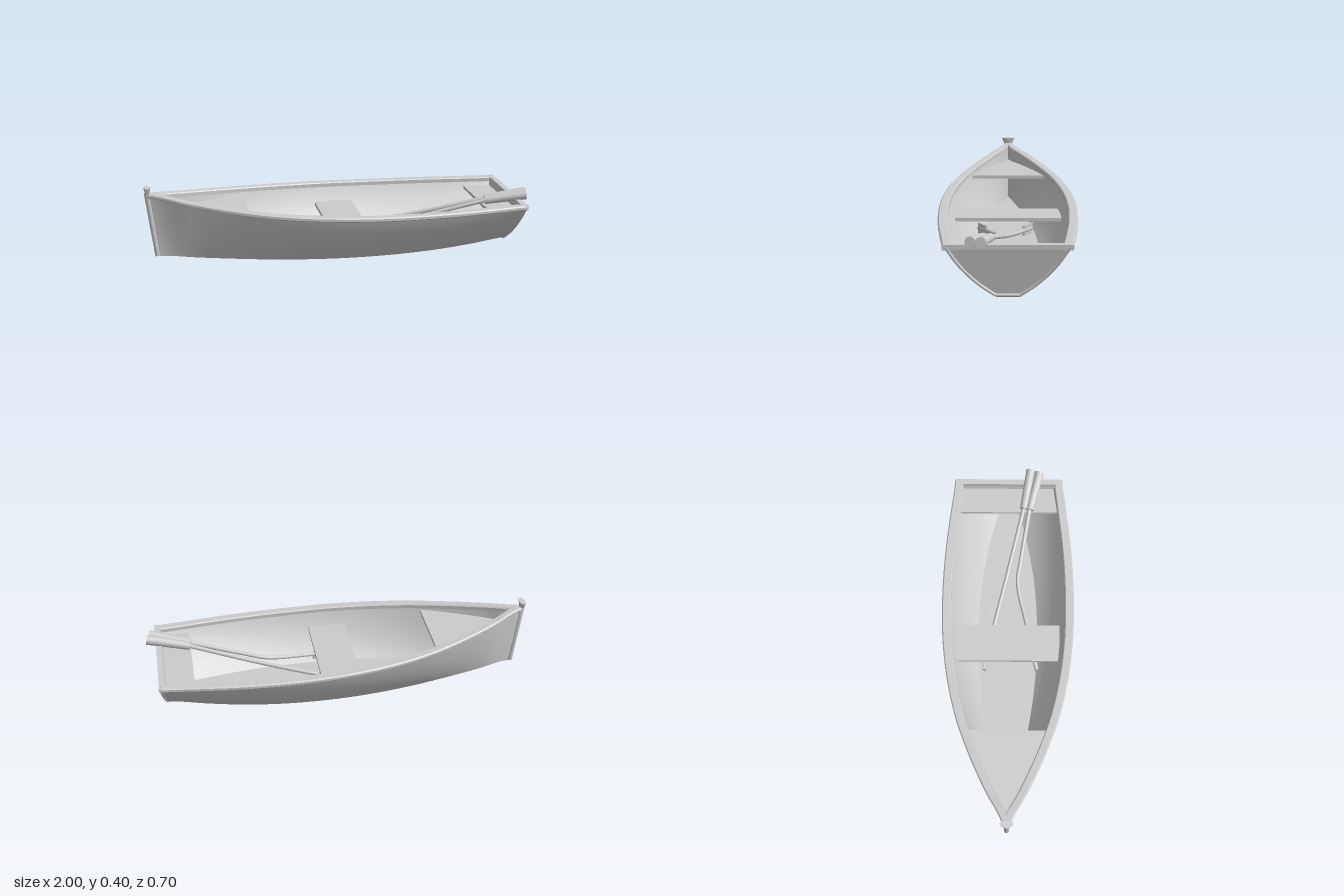
import * as THREE from 'three';
import { toCreasedNormals } from 'three/addons/utils/BufferGeometryUtils.js';

const mat = new THREE.MeshStandardMaterial({ color: 0xcccccc, side: THREE.DoubleSide });
const lerp = THREE.MathUtils.lerp;
const V = (x, y, z) => new THREE.Vector3(x, y, z);

// Smooth function of u (0 bow .. 1 stern) through evenly spaced values
function along(values) {
  const curve = new THREE.SplineCurve(values.map((v, i) => new THREE.Vector2(i, v)));
  return (u) => curve.getPoint(Math.min(1, Math.max(0, u))).y;
}
const railWidth = along([0.018, 0.115, 0.2, 0.268, 0.312, 0.338, 0.348, 0.346, 0.335, 0.315, 0.295]);
const sheerY = along([0.365, 0.338, 0.316, 0.299, 0.287, 0.279, 0.273, 0.27, 0.269, 0.269, 0.27]);
const chineWidth = along([0.004, 0.05, 0.09, 0.125, 0.152, 0.167, 0.171, 0.164, 0.142, 0.106, 0.06]);
const floorY = along([0.03, 0.022, 0.016, 0.011, 0.008, 0.006, 0.006, 0.008, 0.011, 0.016, 0.022]);
const sheerX = (u) => -0.985 + 1.93 * u;
const floorX = (u) => -0.95 + 1.855 * u;
const uAt = (x) => (x + 0.985) / 1.93;

// Point on the hull side: v 0 at the chine, 1 at the sheer
function sidePoint(u, v, inset = 0) {
  const top = sheerY(u) - 0.012;
  const low = floorY(u) + inset;
  const w = Math.max(0, railWidth(u) - 0.012 - inset);
  const c = Math.max(0, chineWidth(u) - inset * 0.7);
  const a = (1 - v) ** 2, b = 2 * v * (1 - v), d = v * v;
  const y = a * low + b * lerp(low, top, 0.39) + d * top;
  const z = a * c + b * lerp(c, w, 0.65) + d * w;
  return V(lerp(floorX(u), sheerX(u), (y - floorY(u)) / (sheerY(u) - floorY(u))), y, z);
}

// Surface from a rule over a grid of (u, v)
function grid(fn, nu, nv) {
  const pos = [], index = [];
  for (let i = 0; i <= nu; i++) {
    for (let j = 0; j <= nv; j++) {
      pos.push(...fn(i / nu, j / nv).toArray());
      if (i < nu && j < nv) {
        const a = i * (nv + 1) + j, b = a + nv + 1;
        index.push(a, b, a + 1, b, b + 1, a + 1);
      }
    }
  }
  const g = new THREE.BufferGeometry();
  g.setAttribute('position', new THREE.Float32BufferAttribute(pos, 3));
  g.setIndex(index);
  g.computeVertexNormals();
  return g;
}

export function createModel() {
  const boat = new THREE.Group();
  boat.name = 'rowingBoat';
  const add = (name, geometry, parent = boat) => {
    const m = new THREE.Mesh(geometry, mat);
    m.name = name;
    parent.add(m);
    return m;
  };
  const rod = (name, a, b, r1, r2, parent, sides = 16) => {
    const m = add(name, new THREE.CylinderGeometry(r2, r1, a.distanceTo(b), sides), parent);
    m.position.copy(a).lerp(b, 0.5);
    m.quaternion.setFromUnitVectors(V(0, 1, 0), b.clone().sub(a).normalize());
    return m;
  };

  // Hull sides and gunwales, mirrored
  for (const s of [1, -1]) {
    const flip = (p) => p.setZ(p.z * s);
    const tag = s > 0 ? 'Front' : 'Back';
    add('hullSide' + tag, grid((u, v) => flip(sidePoint(u, v)), 60, 14));
    add('innerSide' + tag, grid((u, v) => flip(sidePoint(u, v, 0.018)), 60, 14));

    // Rail profile: [distance in from the outer edge, distance below the sheer]
    const profile = [[0.006, 0.024], [0, 0.018], [0, 0.006], [0.006, 0], [0.042, 0], [0.047, 0.005], [0.047, 0.024], [0.006, 0.024]];
    const rail = grid((u, v) => {
      const [inn, down] = profile[Math.round(v * (profile.length - 1))];
      return flip(V(sheerX(u), sheerY(u) - down, Math.max(0, railWidth(u) - inn)));
    }, 60, profile.length - 1);
    add('gunwale' + tag, toCreasedNormals(rail, 0.6));
    const end = add('gunwaleEnd' + tag, new THREE.BoxGeometry(0.012, 0.024, 0.047));
    end.position.set(0.942, 0.258, s * 0.271);

    // Rounded trim down the edge of the transom
    const edge = [0, 0.25, 0.5, 0.75, 1].map((v) => flip(sidePoint(1, v)).add(V(0, 0, -0.006 * s)));
    add('transomTrim' + tag, new THREE.TubeGeometry(new THREE.CatmullRomCurve3(edge), 24, 0.008, 8));
  }

  // Outer bottom and inside floor
  for (const [name, inset] of [['hullBottom', 0], ['floor', 0.018]]) {
    add(name, grid((u, v) => {
      const p = sidePoint(u, 0, inset);
      return p.setZ(p.z * (2 * v - 1));
    }, 60, 6));
  }

  // Transom board
  for (const [name, dx] of [['transomOutside', 0], ['transomInside', -0.022]]) {
    add(name, grid((a, b) => {
      const p = sidePoint(1, a);
      return V(p.x + dx, p.y, p.z * (2 * b - 1));
    }, 16, 8));
  }
  add('transomRail', new THREE.BoxGeometry(0.03, 0.022, 0.56)).position.set(0.933, 0.26, 0);
  rod('transomFoot', V(0.905, 0.023, -0.055), V(0.905, 0.023, 0.055), 0.008, 0.008);

  // Keel strip and stem post
  const keelProfile = [[-0.019, 0.008], [-0.015, -0.006], [0.015, -0.006], [0.019, 0.008]];
  add('keel', toCreasedNormals(grid((u, v) => {
    const [z, y] = keelProfile[Math.round(v * 3)];
    return V(floorX(u), floorY(u) + y, z * Math.min(1, 0.3 + u * 4));
  }, 50, 3), 0.5));
  rod('stemPost', V(-0.945, 0.027, 0), V(-0.984, 0.367, 0), 0.013, 0.015);

  // Flared, fluted cap on the bow
  const cap = new THREE.CylinderGeometry(0.034, 0.022, 0.034, 48, 4);
  const p = cap.attributes.position;
  for (let i = 0; i < p.count; i++) {
    const flute = 1 + 0.1 * Math.cos(8 * Math.atan2(p.getZ(i), p.getX(i)));
    p.setXYZ(i, p.getX(i) * flute * 0.48, p.getY(i), p.getZ(i) * flute);
  }
  cap.computeVertexNormals();
  add('bowCap', toCreasedNormals(cap, 0.7)).position.set(-0.982, 0.378, 0);

  // Seats: flat boards given by half widths along x
  const board = (name, outline, top, thick) => {
    const pts = [...outline, ...outline.map(([x, z]) => [x, -z]).reverse()];
    const shape = new THREE.Shape(pts.map(([x, z]) => new THREE.Vector2(x, z)));
    const g = new THREE.ExtrudeGeometry(shape, { depth: thick, bevelEnabled: false });
    add(name, g.rotateX(Math.PI / 2)).position.y = top;
  };
  const bowEdge = [];
  for (let i = 0; i <= 10; i++) {
    const x = lerp(-0.93, -0.48, i / 10);
    bowEdge.push([x, Math.max(0.004, railWidth(uAt(x)) - 0.043)]);
  }
  board('bowSeat', bowEdge, 0.27, 0.016);
  board('middleSeat', [[-0.075, 0.275], [0.125, 0.275]], 0.18, 0.018);
  board('sternSeat', [[0.77, 0.265], [0.915, 0.25]], 0.225, 0.016);

  // Two oars resting on the stern with blades under the middle seat
  const oars = [
    { name: 'oarBack', grip: [V(0.775, 0.257, 0.082), V(0.992, 0.294, 0.12)],
      path: [V(0.78, 0.258, 0.083), V(0.4, 0.165, -0.01), V(0.12, 0.11, -0.08), V(-0.09, 0.07, -0.125)] },
    { name: 'oarFront', grip: [V(0.77, 0.257, 0.115), V(0.978, 0.292, 0.168)],
      path: [V(0.78, 0.258, 0.115), V(0.5, 0.187, 0.068), V(0.38, 0.158, 0.052), V(0.12, 0.11, 0.11), V(-0.09, 0.07, 0.155)] },
  ];
  for (const { name, grip, path } of oars) {
    const oar = new THREE.Group();
    oar.name = name;
    boat.add(oar);
    rod('oarHandle', grip[0], grip[1], 0.021, 0.025, oar, 20);
    add('oarShaft', new THREE.TubeGeometry(new THREE.CatmullRomCurve3(path), 40, 0.011, 10), oar);
    const [a, b] = path.slice(-2);
    const blade = add('oarBlade', new THREE.BoxGeometry(0.014, 0.055, a.distanceTo(b)), oar);
    blade.position.copy(a).lerp(b, 0.5);
    blade.lookAt(b);
  }
  return boat;
}
